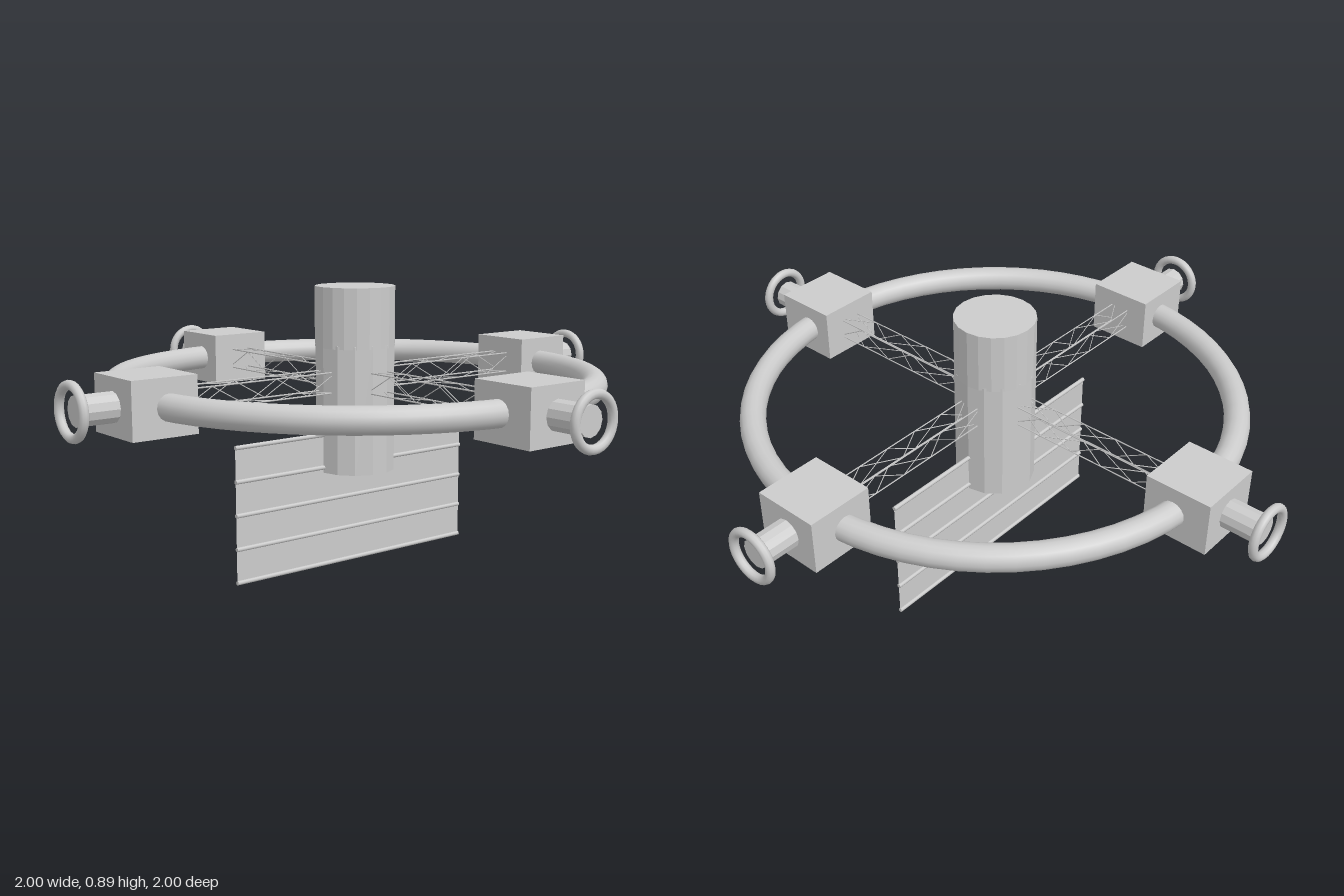
import * as THREE from 'three';

const material = new THREE.MeshStandardMaterial({ color: 0xcccccc });
const flat = new THREE.MeshStandardMaterial({ color: 0xcccccc, flatShading: true });
const thin = new THREE.MeshStandardMaterial({ color: 0xcccccc, side: THREE.DoubleSide });
const MID = 0.595; // height of the ring plane

function add(parent, name, geometry, mat = material) {
  const mesh = new THREE.Mesh(geometry, mat);
  mesh.name = name;
  parent.add(mesh);
  return mesh;
}

// Thin rod between two points
function rod(parent, name, a, b, radius, sides = 4) {
  const dir = b.clone().sub(a);
  const mesh = add(parent, name, new THREE.CylinderGeometry(radius, radius, dir.length(), sides));
  mesh.position.copy(a).add(b).multiplyScalar(0.5);
  mesh.quaternion.setFromUnitVectors(new THREE.Vector3(0, 1, 0), dir.normalize());
  return mesh;
}

// Lattice truss running along +x, square in section
function createTruss() {
  const truss = new THREE.Group();
  truss.name = 'truss';
  const start = 0.1, end = 0.67, half = 0.032, bays = 5;
  const corners = [[1, 1], [1, -1], [-1, -1], [-1, 1]];
  const point = (x, c) => new THREE.Vector3(x, corners[c % 4][0] * half, corners[c % 4][1] * half);
  for (let c = 0; c < 4; c++) {
    rod(truss, 'longeron', point(start, c), point(end, c), 0.0025);
    for (let i = 0; i < bays; i++) {
      const x0 = start + (end - start) * i / bays;
      const x1 = start + (end - start) * (i + 1) / bays;
      const flip = i % 2;
      rod(truss, 'diagonal', point(x0, c + flip), point(x1, c + 1 - flip), 0.0015);
    }
  }
  return truss;
}

// One spoke: truss, module on the ring, and docking port
function createArm() {
  const arm = new THREE.Group();
  arm.name = 'arm';
  arm.add(createTruss());
  add(arm, 'ringModule', new THREE.BoxGeometry(0.21, 0.17, 0.21)).position.x = 0.755;
  const neck = add(arm, 'dockingNeck', new THREE.CylinderGeometry(0.045, 0.045, 0.13, 12), flat);
  neck.rotation.z = -Math.PI / 2;
  neck.position.x = 0.91;
  const collar = add(arm, 'dockingCollar', new THREE.TorusGeometry(0.074, 0.014, 10, 32));
  collar.rotation.y = Math.PI / 2;
  collar.position.x = 0.986;
  return arm;
}

export function createModel() {
  const model = new THREE.Group();
  model.name = 'spaceStation';

  // Habitat ring
  const ring = add(model, 'habitatRing', new THREE.TorusGeometry(0.75, 0.04, 16, 64));
  ring.rotation.x = Math.PI / 2;
  ring.position.y = MID;

  // Central hub: rounder upper section over a coarser lower one
  add(model, 'hubTop', new THREE.CylinderGeometry(0.127, 0.127, 0.19, 20), flat).position.y = 0.795;
  add(model, 'hubBase', new THREE.CylinderGeometry(0.127, 0.127, 0.405, 14), flat).position.y = 0.5075;

  // Four arms
  for (let i = 0; i < 4; i++) {
    const arm = createArm();
    arm.position.y = MID;
    arm.rotation.y = i * Math.PI / 2;
    model.add(arm);
  }

  // Flat panel hanging below the hub, stiffened by five rods
  const panel = new THREE.Group();
  panel.name = 'solarPanel';
  const sheet = add(panel, 'panelSheet', new THREE.PlaneGeometry(0.92, 0.42), thin);
  sheet.rotation.y = Math.PI / 2;
  sheet.position.y = 0.217;
  for (let i = 0; i < 5; i++) {
    const y = 0.007 + i * 0.105;
    rod(panel, 'panelRod', new THREE.Vector3(0, y, -0.46), new THREE.Vector3(0, y, 0.46), 0.007, 8);
  }
  model.add(panel);

  return model;
}
